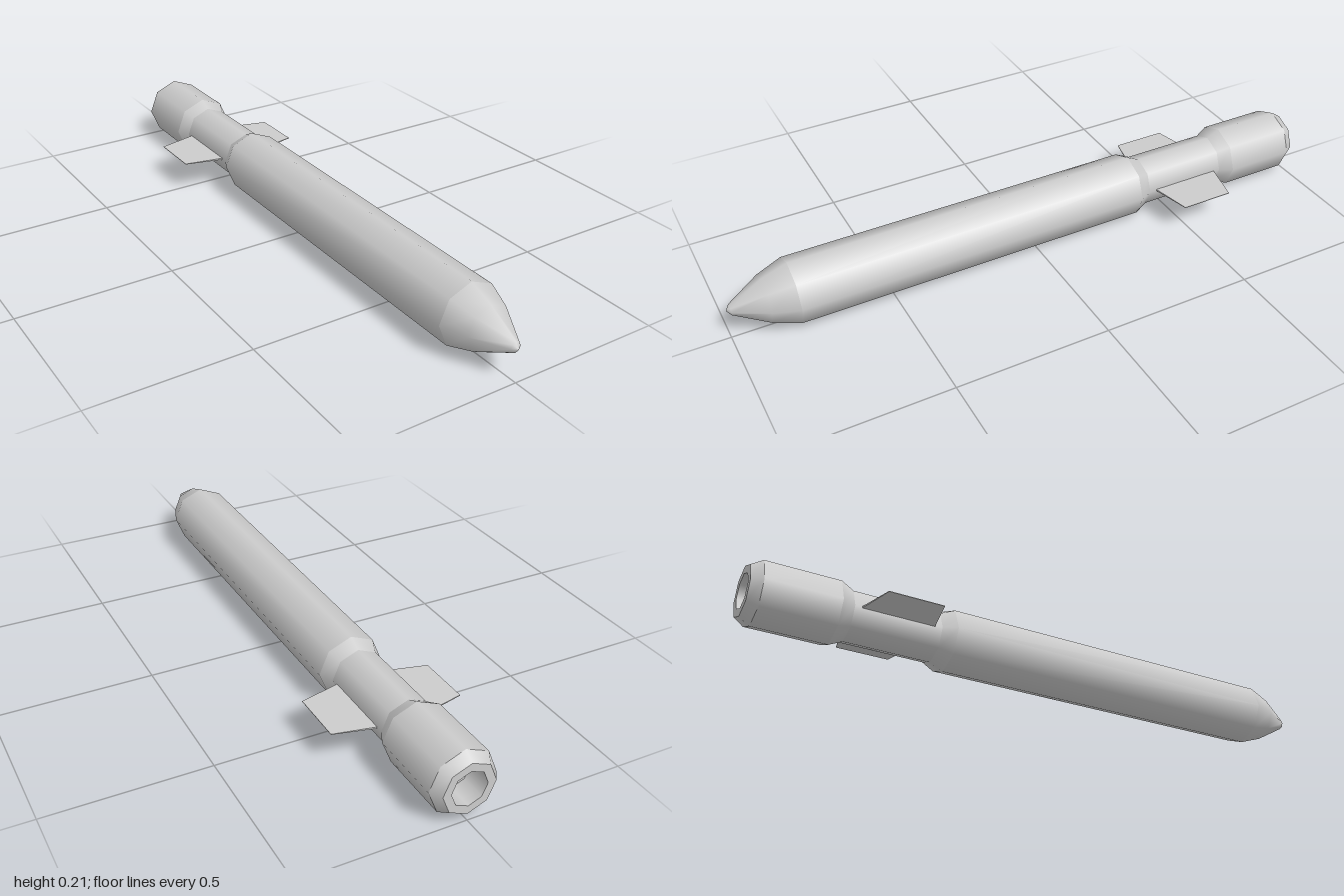
import * as THREE from 'three';

const R = 0.104;     // body radius, also the axis height
const NECK = 0.083;  // radius of the waist between body and tail

export function createModel() {
  const model = new THREE.Group();
  const material = new THREE.MeshStandardMaterial({ color: 0xcccccc });

  // Eight-sided ring about the z axis; points are [radius, z] from back to front.
  // Each section is separate so the edges between sections stay sharp.
  const section = (name, ...points) => {
    const geometry = new THREE.LatheGeometry(points.map(([r, z]) => new THREE.Vector2(r, z)), 8);
    geometry.rotateX(Math.PI / 2);
    const mesh = new THREE.Mesh(geometry, material);
    mesh.name = name;
    mesh.position.y = R;
    model.add(mesh);
  };

  // Tail with recessed nozzle
  section('nozzleFloor', [0, -0.92], [0.056, -0.92]);
  section('nozzleWall', [0.056, -0.92], [0.056, -1]);
  section('nozzleRim', [0.056, -1], [0.082, -1]);
  section('tailChamfer', [0.082, -1], [R, -0.967]);
  section('tailBarrel', [R, -0.967], [R, -0.735]);
  section('tailShoulder', [R, -0.735], [NECK, -0.692]);

  // Waist, main body and nose
  section('waist', [NECK, -0.692], [NECK, -0.412]);
  section('bodyShoulder', [NECK, -0.412], [R, -0.368]);
  section('body', [R, -0.368], [R, 0.803]);
  section('nose', [R, 0.803], [0.075, 0.885], [0.017, 0.988], [0, 1]);

  // Fins: thin plates that taper in chord and thickness towards the tip
  for (const side of [1, -1]) {
    const geometry = new THREE.BoxGeometry(0.135, 0.006, 0.236);
    const p = geometry.attributes.position;
    for (let i = 0; i < p.count; i++) {
      if (p.getX(i) * side > 0) {
        p.setY(i, p.getY(i) * 0.35);
        p.setZ(i, p.getZ(i) * 0.74);
      }
    }
    geometry.computeVertexNormals();
    const fin = new THREE.Mesh(geometry, material);
    fin.name = side > 0 ? 'leftFin' : 'rightFin';
    fin.position.set(side * 0.1425, R, -0.553);
    model.add(fin);
  }

  return model;
}
